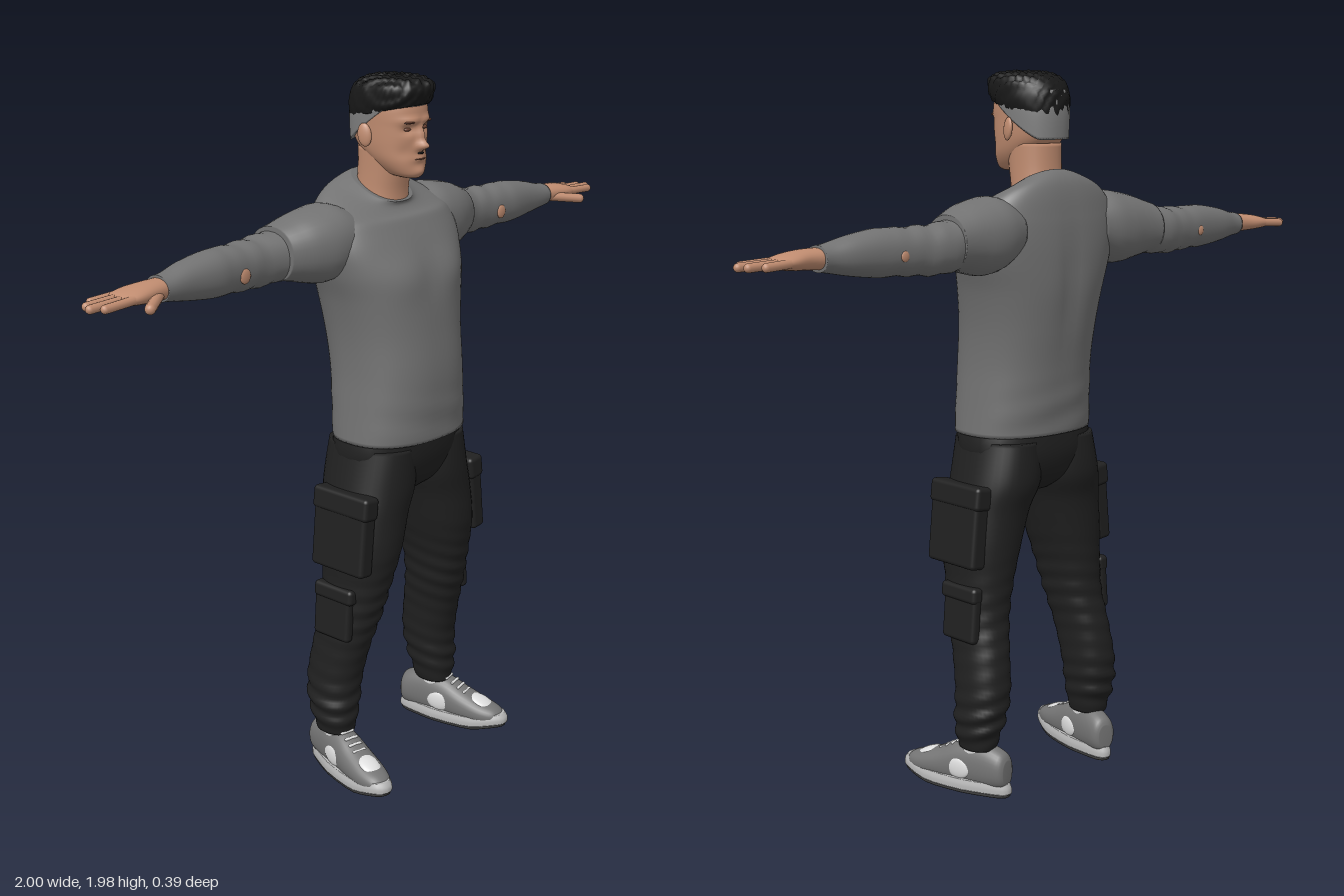
import * as THREE from 'three';
import { RoundedBoxGeometry } from 'three/addons/geometries/RoundedBoxGeometry.js';

const mat = (name, color) => Object.assign(new THREE.MeshStandardMaterial({ color }), { name });
const M = {
  skin: mat('skin', 0xc08c70), hair: mat('hair', 0x181818), fade: mat('shavedHair', 0x808080),
  shirt: mat('shirtGrey', 0x727272), pants: mat('trouserBlack', 0x202020), shoe: mat('shoeGrey', 0x747474),
  white: mat('shoeWhite', 0xdedede), sole: mat('soleGrey', 0xb8b8b8), tread: mat('treadGrey', 0x454545),
  brown: mat('faceBrown', 0x6a4334),
};
const clamp = THREE.MathUtils.clamp;
const smooth = THREE.MathUtils.smoothstep;
const bump = (dx, dy, sx, sy) => Math.exp(-((dx / sx) ** 2) - (dy / sy) ** 2);

// Catmull-Rom blend between q and r
const blend = (p, q, r, s, u) =>
  q + 0.5 * u * (r - p + u * (2 * p - 5 * q + 4 * r - s + u * (3 * (q - r) + s - p)));

// Smooth skin over cross-sections [t, a, b, radiusA, radiusB] along one axis
function loft(axis, rows, { seg = 32, steps = 5, n = 2.2, deform } = {}) {
  const place = { x: (t, a, b) => [t, a, b], y: (t, a, b) => [a, t, b], z: (t, a, b) => [a, b, t] }[axis];
  const rings = [];
  for (let i = 0; i < rows.length - 1; i++) {
    const [p, q, r, s] = [i - 1, i, i + 1, i + 2].map(k => rows[clamp(k, 0, rows.length - 1)]);
    for (let j = 0; j < steps; j++) rings.push(q.map((v, k) => blend(p[k], v, r[k], s[k], j / steps)));
  }
  rings.push(rows[rows.length - 1]);
  const pos = [], idx = [], v = new THREE.Vector3();
  const push = (t, a, b) => {
    v.set(...place(t, a, b));
    if (deform) deform(v);
    pos.push(v.x, v.y, v.z);
  };
  const pw = c => Math.sign(c) * Math.abs(c) ** (2 / n);
  for (const [t, a, b, ra, rb] of rings)
    for (let k = 0; k < seg; k++) {
      const w = k / seg * Math.PI * 2;
      push(t, a + ra * pw(Math.cos(w)), b + rb * pw(Math.sin(w)));
    }
  const last = rings.length - 1, c0 = rings.length * seg;
  push(...rings[0].slice(0, 3));
  push(...rings[last].slice(0, 3));
  for (let k = 0; k < seg; k++) {
    const k2 = (k + 1) % seg;
    for (let i = 0; i < last; i++) {
      const a = i * seg + k, b = i * seg + k2;
      idx.push(a, a + seg, b, b, a + seg, b + seg);
    }
    idx.push(c0, k, k2, c0 + 1, last * seg + k2, last * seg + k);
  }
  // Turn every face outward
  let vol = 0;
  const P = i => new THREE.Vector3().fromArray(pos, i * 3);
  for (let i = 0; i < idx.length; i += 3) vol += P(idx[i]).dot(P(idx[i + 1]).cross(P(idx[i + 2])));
  if (vol < 0) idx.reverse();
  const g = new THREE.BufferGeometry();
  g.setAttribute('position', new THREE.Float32BufferAttribute(pos, 3));
  g.setIndex(idx);
  g.computeVertexNormals();
  return g;
}

const ball = (x, y, z, sx, sy, sz) => new THREE.SphereGeometry(1, 20, 14).scale(sx, sy, sz).translate(x, y, z);
const box = (x, y, z, w, h, d, tilt = 0, r = 0.012) =>
  new RoundedBoxGeometry(w, h, d, 3, r).rotateZ(tilt).translate(x, y, z);
function finger(from, to, r) {
  const a = new THREE.Vector3(...from), b = new THREE.Vector3(...to), d = b.clone().sub(a);
  const q = new THREE.Quaternion().setFromUnitVectors(new THREE.Vector3(0, 1, 0), d.clone().normalize());
  const mid = a.add(b).multiplyScalar(0.5);
  return new THREE.CapsuleGeometry(r, d.length() - 2 * r, 6, 12).applyQuaternion(q).translate(mid.x, mid.y, mid.z);
}

function mirrorX(g) {
  g.scale(-1, 1, 1);
  const list = g.index ? [...g.index.array] : Array.from({ length: g.attributes.position.count }, (_, i) => i);
  g.setIndex(list.reverse());
  return g;
}

export function createModel() {
  const root = new THREE.Group();
  root.name = 'standingMan';
  const add = (name, g, m, parent = root) => {
    const mesh = new THREE.Mesh(g, m);
    mesh.name = name;
    parent.add(mesh);
  };

  // Shirt body, with chest muscles and a neckline that dips at the front
  add('shirtBody', loft('y', [
    [1.005, 0, 0, 0.2, 0.15], [1.1, 0, -0.003, 0.192, 0.157], [1.2, 0, -0.008, 0.186, 0.162],
    [1.3, 0, -0.02, 0.19, 0.165], [1.4, 0, -0.032, 0.207, 0.166], [1.48, 0, -0.044, 0.232, 0.156],
    [1.55, 0, -0.057, 0.245, 0.14], [1.61, 0, -0.07, 0.23, 0.12], [1.645, 0, -0.073, 0.19, 0.104],
    [1.67, 0, -0.07, 0.115, 0.084], [1.685, 0, -0.06, 0.078, 0.076],
  ], { seg: 64, steps: 6, n: 2.4, deform: v => {
    const x = Math.abs(v.x);
    if (v.z > 0) v.z += 0.014 * bump(x - 0.09, v.y - 1.47, 0.07, 0.06);
    else v.z += 0.01 * bump(x, v.y - 1.42, 0.03, 0.14);
    v.z *= 1 + 0.012 * Math.sin(v.y * 70 + v.x * 14) * smooth(1.2 - v.y, 0, 0.15);
    v.y -= (v.z + 0.06) * 0.5 * smooth(v.y, 1.6, 1.68);
  } }), M.shirt);

  // Neck and sculpted head
  add('neck', loft('y', [
    [1.58, 0, -0.065, 0.08, 0.08], [1.66, 0, -0.06, 0.07, 0.07], [1.72, 0, -0.052, 0.068, 0.07], [1.79, 0, -0.045, 0.07, 0.075],
  ]), M.skin);
  add('head', loft('y', [
    [1.715, 0, 0.035, 0.022, 0.03], [1.727, 0, 0.022, 0.046, 0.05], [1.76, 0, 0, 0.068, 0.074],
    [1.8, 0, -0.024, 0.079, 0.098], [1.85, 0, -0.032, 0.083, 0.108], [1.9, 0, -0.034, 0.084, 0.108],
    [1.94, 0, -0.034, 0.072, 0.092], [1.965, 0, -0.034, 0.035, 0.045],
  ], { seg: 80, steps: 8, n: 2.25, deform: v => {
    if (v.z < 0) return;
    const x = Math.abs(v.x), y = v.y;
    v.z += 0.03 * bump(x, y - 1.802, 0.013, 0.012) + 0.016 * bump(x, y - 1.828, 0.01, 0.022)
      + 0.008 * bump(x - 0.03, y - 1.868, 0.03, 0.009) - 0.011 * bump(x - 0.033, y - 1.845, 0.018, 0.012)
      + 0.006 * bump(x, y - 1.768, 0.022, 0.01) + 0.008 * bump(x, y - 1.732, 0.022, 0.014)
      - 0.004 * bump(x - 0.045, y - 1.785, 0.018, 0.02);
  } }), M.skin);
  add('mouth', ball(0, 1.766, 0.075, 0.02, 0.0025, 0.007), M.brown);
  add('moustache', ball(0, 1.782, 0.078, 0.011, 0.003, 0.006), M.hair);

  // Shaved sides and thick hair on top
  const scalp = (edge, top, rows, extra) => loft('y', rows, { seg: 80, steps: 6, n: 2.25, deform: v => {
    const e = edge(v.z);
    v.y = e + (v.y - rows[0][0]) / (top - rows[0][0]) * (top - e);
    if (extra) extra(v);
  } });
  add('shavedSides', scalp(z => clamp(1.885 + z * 0.7, 1.8, 1.905), 1.93,
    [[1.8, 0, -0.034, 0.086, 0.109], [1.87, 0, -0.034, 0.088, 0.112], [1.93, 0, -0.034, 0.084, 0.106]]), M.fade);
  add('hair', scalp(z => 1.89 + 0.22 * z, 1.978, [
    [1.88, 0, -0.033, 0.087, 0.111], [1.9, 0, -0.029, 0.092, 0.117], [1.93, 0, -0.024, 0.092, 0.119],
    [1.955, 0, -0.02, 0.084, 0.108], [1.972, 0, -0.014, 0.06, 0.08], [1.978, 0, -0.01, 0.02, 0.03],
  ], v => {
    const w = Math.sin(v.x * 190 + v.z * 90) * Math.sin(v.z * 170 - v.x * 60 + v.y * 120);
    v.y += 0.005 * w * smooth(v.y, 1.92, 1.95);
    v.x *= 1 + 0.025 * w;
    v.z += 0.003 * w;
  }), M.hair);

  // Trouser seat
  add('trouserSeat', loft('y', [
    [0.84, 0, -0.01, 0.05, 0.07], [0.88, 0, -0.01, 0.14, 0.115], [0.95, 0, -0.008, 0.198, 0.14], [1.03, 0, -0.002, 0.19, 0.142],
  ], { n: 2.4 }), M.pants);

  for (const s of [1, -1]) {
    const group = part => {
      const g = new THREE.Group();
      g.name = (s > 0 ? 'left' : 'right') + part;
      root.add(g);
      return (name, geo, m) => add(name, s > 0 ? geo : mirrorX(geo), m, g);
    };

    // Eye, brow and ear
    const face = group('Face');
    face('eye', ball(0.033, 1.845, 0.059, 0.012, 0.005, 0.007), M.brown);
    face('eyebrow', ball(0, 0, 0, 0.019, 0.0035, 0.006).rotateY(0.25).translate(0.035, 1.864, 0.071), M.brown);
    face('ear', ball(0, 0, 0, 0.009, 0.031, 0.02).rotateY(-0.3).rotateX(-0.15).translate(0.09, 1.828, -0.04), M.skin);

    // Short sleeve over a fitted long sleeve
    const arm = group('Arm');
    arm('shortSleeve', loft('x', [
      [0.15, 1.565, -0.08, 0.075, 0.1], [0.2, 1.56, -0.085, 0.098, 0.108], [0.25, 1.553, -0.088, 0.1, 0.107],
      [0.3, 1.552, -0.094, 0.09, 0.097], [0.34, 1.55, -0.103, 0.078, 0.086], [0.37, 1.547, -0.112, 0.071, 0.077],
    ]), M.shirt);
    arm('longSleeve', loft('x', [
      [0.3, 1.55, -0.1, 0.068, 0.075], [0.4, 1.537, -0.12, 0.066, 0.067], [0.48, 1.535, -0.115, 0.063, 0.06],
      [0.55, 1.537, -0.11, 0.061, 0.058], [0.6, 1.537, -0.106, 0.061, 0.057], [0.68, 1.536, -0.105, 0.05, 0.05],
      [0.74, 1.534, -0.1, 0.037, 0.043], [0.77, 1.534, -0.1, 0.033, 0.041],
    ], { deform: v => { v.y += 0.003 * Math.sin(v.x * 90 + v.z * 30) * bump(v.x - 0.45, 0, 0.09, 1); } }), M.shirt);
    arm('elbowPatchFront', ball(0.52, 1.525, -0.055, 0.018, 0.02, 0.006), M.skin);
    arm('elbowPatchBack', ball(0.55, 1.53, -0.166, 0.013, 0.014, 0.005), M.skin);

    // Hand, palm down
    arm('palm', loft('x', [
      [0.74, 1.534, -0.1, 0.027, 0.036], [0.8, 1.535, -0.096, 0.026, 0.04], [0.85, 1.534, -0.098, 0.022, 0.048],
      [0.885, 1.532, -0.1, 0.016, 0.046], [0.9, 1.531, -0.1, 0.009, 0.04],
    ]), M.skin);
    [[-0.064, 0.975], [-0.088, 0.999], [-0.112, 0.988], [-0.135, 0.955]].forEach(([z, tip], i) =>
      arm('finger' + (i + 1), finger([0.865, 1.533, z], [tip, 1.528, z * 1.1 + 0.008], 0.0115), M.skin));
    arm('thumb', finger([0.78, 1.528, -0.08], [0.875, 1.515, -0.012], 0.014), M.skin);

    // Trouser leg with folds at the knee and ankle
    const leg = group('Leg');
    leg('trouserLeg', loft('y', [
      [0.99, 0.1, -0.008, 0.092, 0.135], [0.88, 0.112, -0.01, 0.108, 0.137], [0.8, 0.135, -0.003, 0.103, 0.125],
      [0.7, 0.155, 0, 0.095, 0.119], [0.6, 0.17, -0.006, 0.081, 0.106], [0.5, 0.183, -0.018, 0.073, 0.093],
      [0.4, 0.197, -0.042, 0.068, 0.088], [0.3, 0.207, -0.06, 0.068, 0.083], [0.22, 0.215, -0.058, 0.064, 0.076],
      [0.17, 0.218, -0.052, 0.056, 0.066], [0.13, 0.218, -0.05, 0.045, 0.057],
    ], { seg: 40, steps: 8, deform: v => {
      const k = 1 + 0.06 * Math.sin(v.y * 120 + v.x * 25 + v.z * 20) * (bump(v.y - 0.22, 0, 0.08, 1) + 0.5 * bump(v.y - 0.5, 0, 0.12, 1));
      v.x = 0.2 + (v.x - 0.2) * k;
      v.z = -0.04 + (v.z + 0.04) * k;
    } }), M.pants);
    leg('cargoPocket', box(0.236, 0.75, 0.005, 0.05, 0.2, 0.19, 0.1), M.pants);
    leg('pocketFlap', box(0.226, 0.845, 0.005, 0.056, 0.065, 0.2, 0.12), M.pants);
    leg('lowerPocket', box(0.249, 0.51, -0.022, 0.03, 0.14, 0.13, 0.08), M.pants);
    leg('lowerFlap', box(0.245, 0.575, -0.018, 0.036, 0.045, 0.14, 0.08), M.pants);

    // Trainer, toes turned out
    const shoePart = group('Shoe');
    const shoe = (name, g, m) => shoePart(name, g.rotateY(0.22).translate(0.228, 0, 0), m);
    const lift = v => {
      v.x *= 1 - 0.2 * smooth(-v.z, 0, 0.12);
      v.y += 0.02 * smooth(v.z, 0.08, 0.2);
    };
    shoe('tread', loft('y', [[0, 0, 0.02, 0.05, 0.175], [0.012, 0, 0.02, 0.053, 0.179]], { n: 2.5, deform: lift }), M.tread);
    shoe('sole', loft('y', [[0.01, 0, 0.02, 0.054, 0.181], [0.025, 0, 0.02, 0.054, 0.18], [0.04, 0, 0.018, 0.05, 0.172]],
      { n: 2.5, deform: lift }), M.sole);
    shoe('upper', loft('z', [
      [-0.152, 0, 0.07, 0.022, 0.035], [-0.135, 0, 0.075, 0.037, 0.053], [-0.07, 0, 0.078, 0.043, 0.068],
      [0, 0, 0.073, 0.047, 0.064], [0.06, 0, 0.06, 0.05, 0.05], [0.12, 0, 0.05, 0.048, 0.036],
      [0.165, 0, 0.045, 0.036, 0.026], [0.185, 0, 0.043, 0.018, 0.013],
    ]), M.shoe);
    shoe('toePanel', ball(0, 0, 0, 0.03, 0.012, 0.042).rotateX(0.36).translate(0, 0.08, 0.115), M.white);
    for (const k of [1, -1]) shoe('sidePanel', ball(k * 0.041, 0.068, -0.01, 0.009, 0.03, 0.04), M.white);
    for (let i = 0; i < 4; i++)
      shoe('lace', box(0, 0.137 - i * 0.011, 0.005 + i * 0.02, 0.044, 0.007, 0.008, 0, 0.003), M.white);
    shoe('sock', new THREE.CylinderGeometry(0.038, 0.038, 0.07, 24).scale(1, 1, 1.25).translate(0, 0.14, -0.045), M.white);
  }
  return root;
}
